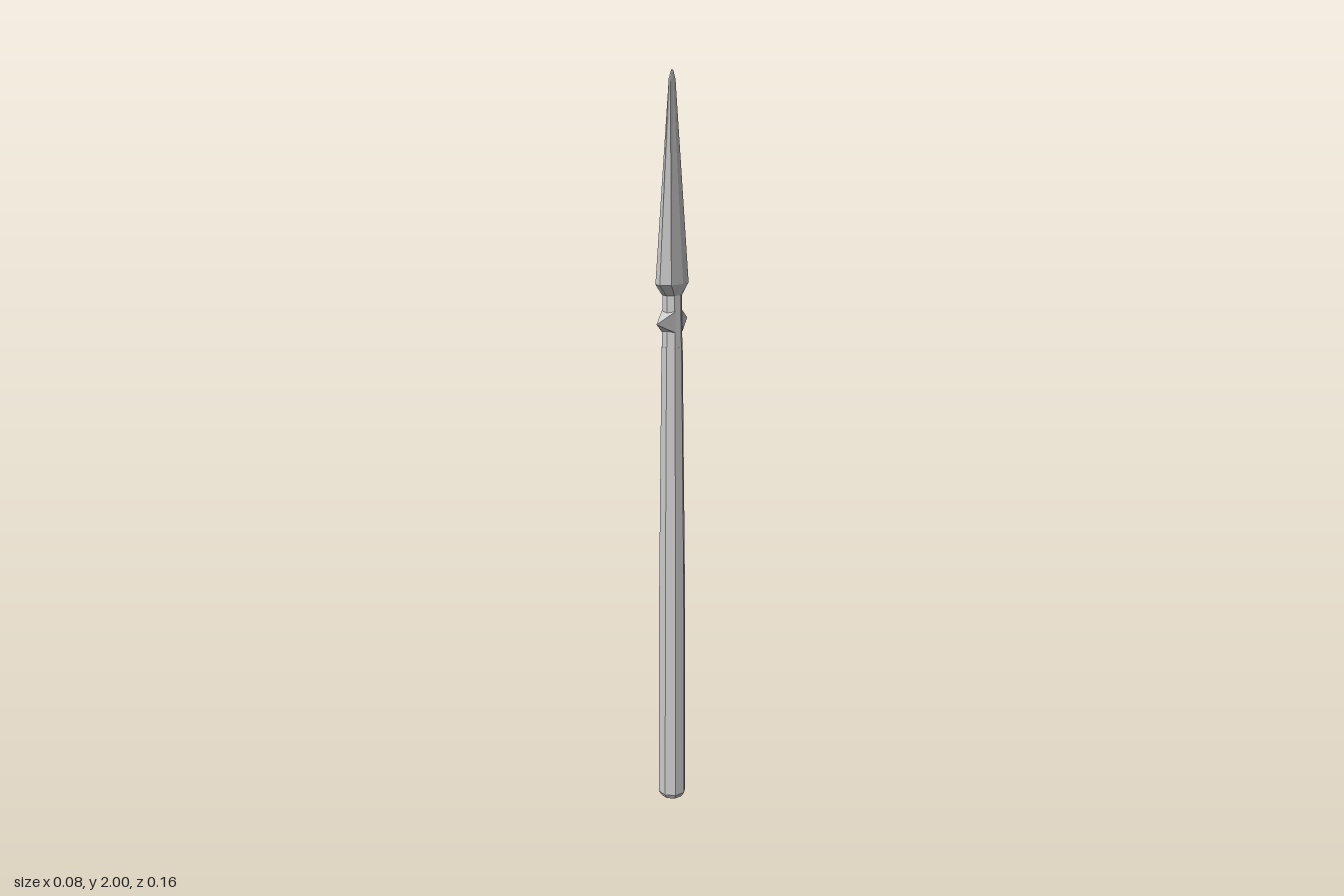
import * as THREE from 'three';

const material = () => new THREE.MeshStandardMaterial({ color: 0xcccccc, flatShading: true });

// Joins eight-cornered rings [y, side x, corner x, corner z, edge z] from bottom to top, capped at both ends
function loft(rings) {
  const positions = [], index = [];
  for (const [y, rx, cx, cz, rz] of rings) {
    const ring = [[rx, 0], [cx, cz], [0, rz], [-cx, cz], [-rx, 0], [-cx, -cz], [0, -rz], [cx, -cz]];
    for (const [x, z] of ring) positions.push(x, y, z);
  }
  for (let r = 0; r < rings.length - 1; r++) {
    for (let i = 0; i < 8; i++) {
      const a = r * 8 + i, b = r * 8 + (i + 1) % 8;
      index.push(a, a + 8, b, b, a + 8, b + 8);
    }
  }
  const top = (rings.length - 1) * 8;
  for (let i = 1; i < 7; i++) {
    index.push(0, i, i + 1, top, top + i + 1, top + i);
  }
  const geometry = new THREE.BufferGeometry();
  geometry.setAttribute('position', new THREE.Float32BufferAttribute(positions, 3));
  geometry.setIndex(index);
  const flat = geometry.toNonIndexed();
  flat.computeVertexNormals();
  return flat;
}

// Regular octagonal ring
const round = (y, r) => [y, r, r * Math.SQRT1_2, r * Math.SQRT1_2, r];

export function createModel() {
  const group = new THREE.Group();
  const add = (name, geometry) => {
    const mesh = new THREE.Mesh(geometry, material());
    mesh.name = name;
    group.add(mesh);
    return mesh;
  };

  // Tapered octagonal pole with a bevelled butt
  add('shaft', loft([round(0, 0.03), round(0.014, 0.039), round(0.6, 0.037), round(1.295, 0.029)]));

  // Socket between pole and blade
  add('socket', loft([round(1.295, 0.028), round(1.44, 0.026)]));

  // Flat blade: flared base, long taper, blunt wedge tip
  add('blade', loft([
    [1.432, 0.026, 0.019, 0.02, 0.029],
    [1.462, 0.033, 0.024, 0.045, 0.063],
    [1.978, 0.003, 0.002, 0.012, 0.017],
    [2.0, 0.0005, 0.0004, 0.003, 0.005],
  ]));

  // Four-sided spikes, front and back
  for (const side of [1, -1]) {
    const spike = new THREE.ConeGeometry(Math.SQRT2, 1, 4);
    spike.rotateY(Math.PI / 4);
    spike.scale(0.021, 0.062, 0.028);
    spike.rotateX(side * Math.PI / 2);
    spike.translate(0, 1.363, side * 0.049);
    add(side > 0 ? 'frontSpike' : 'backSpike', spike);
  }
  return group;
}
